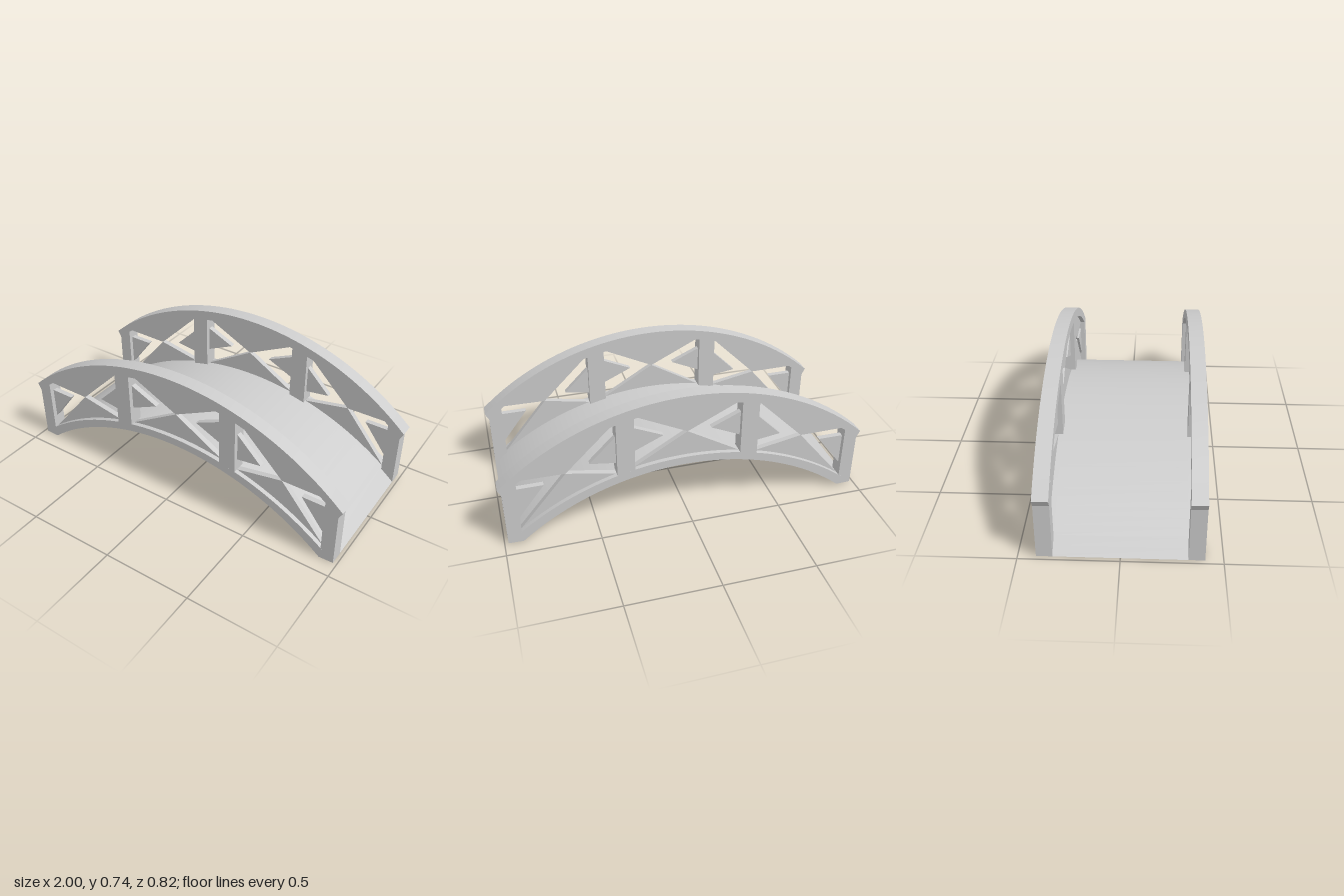
import * as THREE from 'three';
import { toCreasedNormals } from 'three/addons/utils/BufferGeometryUtils.js';

// Height of an arch with crown height h and radius r at position x
const arch = (h, r) => (x) => h - r + Math.sqrt(r * r - x * x);
const railTop = arch(0.74, 1.477);
const railUnder = arch(0.683, 1.476);
const deckTop = arch(0.37, 1.491);
const deckUnder = arch(0.325, 1.409);

const TRUSS_Z = 0.37, TRUSS_DEPTH = 0.08, PANEL_DEPTH = 0.03;
const material = new THREE.MeshStandardMaterial({ color: 0xcccccc, side: THREE.DoubleSide });

// Points along an arch from x0 to x1
function arc(f, x0, x1) {
  const n = Math.max(4, Math.ceil(Math.abs(x1 - x0) * 24));
  return Array.from({ length: n + 1 }, (_, i) => {
    const x = x0 + ((x1 - x0) * i) / n;
    return [x, Math.max(0, f(x))];
  });
}

// Outline between two arches; the lower one may have its own ends
const band = (top, bottom, x0, x1, b0 = x0, b1 = x1) =>
  [...arc(bottom, b0, b1), ...arc(top, x1, x0)];

// Plate with the given outline, centred on z
function plate(name, points, depth, z = 0) {
  const shape = new THREE.Shape(points.map(([x, y]) => new THREE.Vector2(x, y)));
  const flat = new THREE.ExtrudeGeometry(shape, { depth, bevelEnabled: false });
  flat.translate(0, 0, z - depth / 2);
  const mesh = new THREE.Mesh(toCreasedNormals(flat, 0.5), material);
  mesh.name = name;
  return mesh;
}

// Infill of one bay: plates above, below and beside the cross-shaped opening
function bay(name, x0, x1, apex, sides) {
  const group = new THREE.Group();
  group.name = name;
  group.add(
    plate('upperInfill', [apex, ...arc(railUnder, x1, x0)], PANEL_DEPTH),
    plate('lowerInfill', [...arc(deckTop, x0, x1), apex], PANEL_DEPTH),
    ...sides.map((s) => plate('sideInfill', s, PANEL_DEPTH))
  );
  return group;
}

const flip = (points) => points.map(([x, y]) => [-x, y]).reverse();

// One complete side truss
function truss(name, z) {
  const group = new THREE.Group();
  group.name = name;
  group.add(
    plate('handrail', band(railTop, railUnder, -1, 1, -0.98, 0.98), TRUSS_DEPTH),
    plate('lowerChord', band(deckTop, deckUnder, -0.98, 0.98, -0.9, 0.9), TRUSS_DEPTH)
  );

  // Posts
  for (const [label, a, b] of [['innerPost', 0.29, 0.385], ['endPost', 0.905, 0.98]]) {
    const outline = band(railUnder, deckTop, a, b);
    group.add(plate(label, outline, TRUSS_DEPTH), plate(label, flip(outline), TRUSS_DEPTH));
  }

  // Middle bay
  const wedge = [[0.29, 0.44], [0.29, 0.585], [0.13, 0.513]];
  group.add(bay('middleBay', -0.29, 0.29, [0, 0.513], [wedge, flip(wedge)]));

  // Outer bays
  const nearWedge = [[0.385, 0.386], [0.524, 0.406], [0.385, 0.545]];
  const farWedge = [[0.905, 0.14], [0.905, 0.322], [0.765, 0.322]];
  group.add(
    bay('leftBay', 0.385, 0.905, [0.65, 0.37], [nearWedge, farWedge]),
    bay('rightBay', -0.905, -0.385, [-0.65, 0.37], [flip(nearWedge), flip(farWedge)])
  );
  group.position.z = z;
  return group;
}

export function createModel() {
  const bridge = new THREE.Group();
  bridge.name = 'archedBridge';
  bridge.add(
    plate('deck', band(deckTop, deckUnder, -0.98, 0.98, -0.9, 0.9), 2 * TRUSS_Z - TRUSS_DEPTH),
    truss('frontTruss', TRUSS_Z),
    truss('backTruss', -TRUSS_Z)
  );
  return bridge;
}
